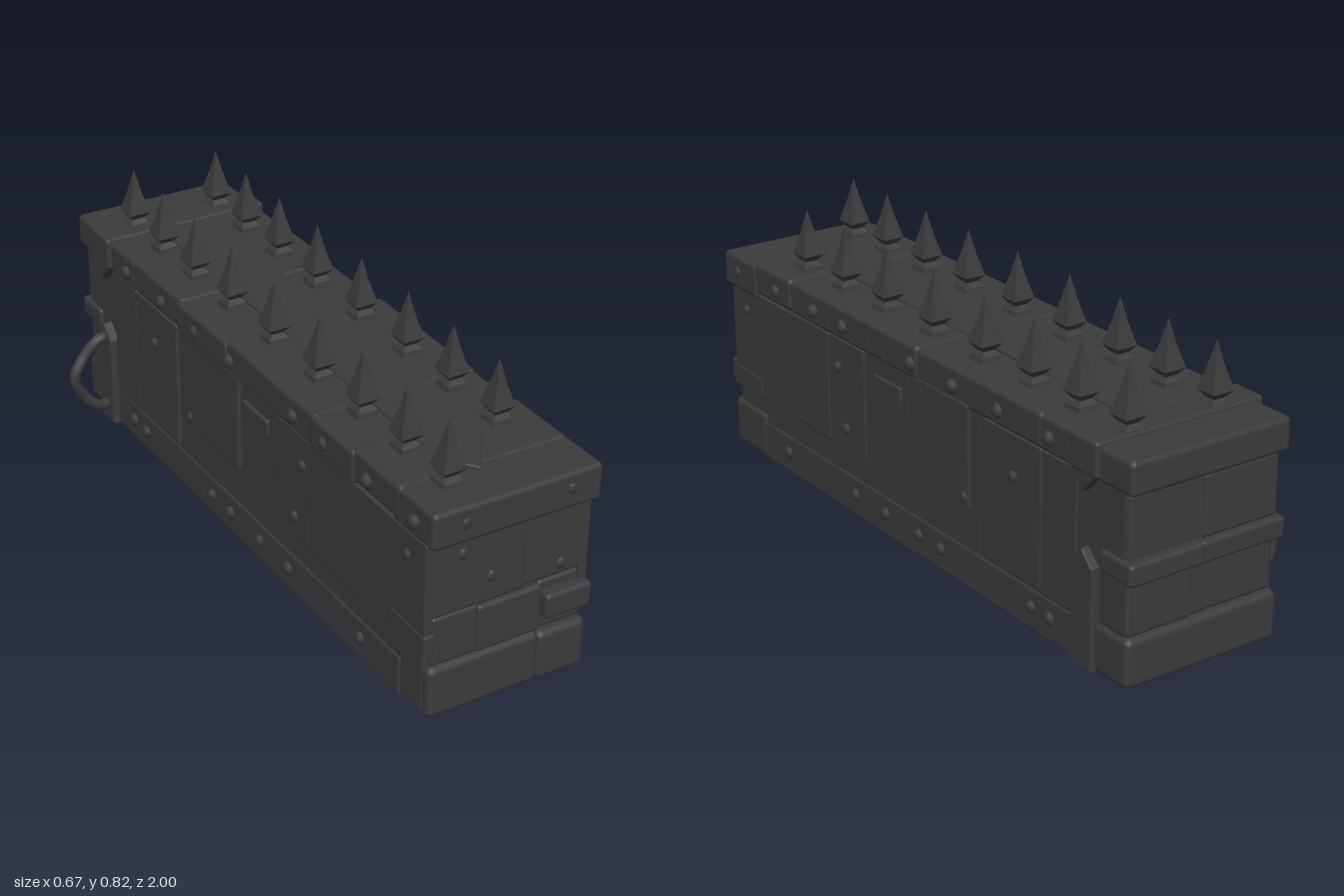
import * as THREE from 'three';
import { RoundedBoxGeometry } from 'three/addons/geometries/RoundedBoxGeometry.js';

const iron = new THREE.MeshStandardMaterial({ color: 0x3b3b3b });
iron.name = 'dark iron';
const CX = 0.053; // middle of the wall in x

export function createModel() {
  const root = new THREE.Group();
  root.name = 'spikedWall';

  const add = (name, geo, parent = root) => {
    const m = new THREE.Mesh(geo, iron);
    m.name = name;
    parent.add(m);
    return m;
  };
  const group = (name) => {
    const g = new THREE.Group();
    g.name = name;
    root.add(g);
    return g;
  };
  // worn block given by its limits on each axis, optionally tilted a little
  const block = (name, x0, x1, y0, y1, z0, z1, parent = root, r = 0.012, tilt = 0) => {
    const w = x1 - x0, h = y1 - y0, d = z1 - z0;
    const m = add(name, new RoundedBoxGeometry(w, h, d, 2, Math.min(r, Math.min(w, h, d) * 0.45)), parent);
    m.position.set((x0 + x1) / 2, (y0 + y1) / 2, (z0 + z1) / 2);
    m.rotation.z = tilt;
    return m;
  };

  // main body and base course
  block('core', -0.188, 0.298, 0.01, 0.6, -0.965, 0.95);
  const base = group('baseCourse');
  block('baseFront', -0.185, 0.16, 0.005, 0.162, 0.7, 0.975, base, 0.02, 0.005);
  block('baseFrontCorner', 0.15, 0.306, 0.008, 0.158, 0.79, 0.98, base, 0.02);
  block('baseBack', -0.19, 0.308, 0.008, 0.15, -0.99, -0.84, base, 0.02);
  block('baseSides', -0.193, 0.302, 0.006, 0.13, -0.9, 0.85, base, 0.01);

  // masonry on the two ends: [x0, x1, y0, y1, depth]
  const ends = group('endStones');
  [
    [-0.183, 0.105, 0.312, 0.535, 0.968], [0.095, 0.292, 0.317, 0.53, 0.963],
    [-0.172, -0.028, 0.16, 0.31, 0.962], [-0.035, 0.165, 0.16, 0.302, 0.966],
    [0.155, 0.296, 0.16, 0.31, 0.958], [0.16, 0.304, 0.208, 0.283, 0.995],
  ].forEach(([x0, x1, y0, y1, d]) => block('frontStone', x0, x1, y0, y1, 0.8, d, ends));
  [
    [-0.185, 0.06, 0.36, 0.54, 0.978], [0.05, 0.295, 0.35, 0.54, 0.972],
    [-0.18, 0.1, 0.15, 0.31, 0.97], [0.09, 0.3, 0.15, 0.31, 0.977],
    [-0.2, 0.08, 0.298, 0.36, 0.995], [0.07, 0.31, 0.3, 0.362, 1.0],
  ].forEach(([x0, x1, y0, y1, d]) => block('backStone', x0, x1, y0, y1, -d, -0.87, ends));

  // overlapping plates on both long sides: [z0, z1, y0, y1, thickness]
  const plates = group('sidePlates');
  const plateList = [
    [0.41, 0.965, 0.205, 0.54, 0.006], [0.22, 0.63, 0.2, 0.54, 0.003],
    [-0.3, 0.01, 0.25, 0.55, 0.007], [-0.62, -0.36, 0.135, 0.54, 0.004],
    [0.8, 0.972, 0.205, 0.27, 0.009], [0.03, 0.17, 0.44, 0.49, 0.005],
    [-0.77, -0.62, 0.13, 0.54, 0.003],
  ];
  for (const s of [-1, 1]) for (const [z0, z1, y0, y1, t] of plateList) {
    const x = CX + s * 0.238;
    block('sidePlate', x - 0.008 - t, x + 0.008 + t, y0, y1, z0, z1, plates, 0.006);
  }

  // overhanging cap: thicker end slabs with slightly uneven side segments
  const cap = group('cap');
  block('capFront', -0.197, 0.316, 0.53, 0.638, 0.8, 0.99, cap, 0.015, -0.006);
  block('capBack', -0.2, 0.312, 0.542, 0.638, -1.0, -0.82, cap, 0.015);
  const cuts = [-0.84, -0.62, -0.33, -0.05, 0.2, 0.42, 0.62, 0.83];
  for (let i = 0; i < cuts.length - 1; i++) {
    const w = 0.004 * Math.sin(i * 2.3);
    block('capSegment', -0.203 + w, 0.307 + w, 0.54 + w, 0.639 + w * 0.7,
      cuts[i] - 0.01, cuts[i + 1] + 0.01, cap, 0.014);
  }

  // pointed strap lying on top
  const outline = new THREE.Shape([
    [-0.035, 0.78], [-0.035, -0.76], [0.135, -0.76], [0.135, 0.7], [0.025, 0.86],
  ].map(([x, z]) => new THREE.Vector2(x, -z)));
  const strap = add('topStrap', new THREE.ExtrudeGeometry(outline, {
    depth: 0.012, bevelEnabled: true, bevelSize: 0.004, bevelThickness: 0.004, bevelSegments: 1,
  }));
  strap.rotation.x = -Math.PI / 2;
  strap.position.y = 0.631;

  // metal band around the rear: over the cap, with pointed tongues on the sides
  const band = group('rearBand');
  block('bandOverCap', -0.216, 0.325, 0.55, 0.649, -0.875, -0.765, band, 0.01);
  const tongue = (pts) => new THREE.ExtrudeGeometry(
    new THREE.Shape(pts.map(([z, y]) => new THREE.Vector2(z, y))),
    { depth: 0.025, bevelEnabled: true, bevelSize: 0.004, bevelThickness: 0.004, bevelSegments: 1 });
  const upper = tongue([[-0.05, 0.56], [0, 0.505], [0.05, 0.56], [0.05, 0.635], [-0.05, 0.635]]);
  const lower = tongue([[-0.042, 0.015], [0.042, 0.015], [0.042, 0.3], [0, 0.34], [-0.042, 0.3]]);
  for (const s of [-1, 1]) for (const [name, geo] of [['upperTongue', upper], ['lowerTongue', lower]]) {
    const m = add(name, geo, band);
    m.rotation.y = s * Math.PI / 2;
    m.position.set(CX + s * 0.24, 0, -0.815);
  }

  // rough ring handle on one side
  const path = new THREE.CatmullRomCurve3([
    [-0.195, 0.3], [-0.235, 0.302], [-0.285, 0.252], [-0.324, 0.185],
    [-0.295, 0.115], [-0.245, 0.068], [-0.195, 0.066],
  ].map(([x, y], i) => new THREE.Vector3(x, y, -0.815 + 0.006 * (i % 2))));
  add('handle', new THREE.TubeGeometry(path, 28, 0.018, 7));

  // two rows of four-sided spikes
  const spikes = group('spikes');
  const profile = [[0.034, 0.63], [0.029, 0.652], [0.018, 0.666], [0.034, 0.686], [0.016, 0.75], [0.0005, 0.82]];
  const spikeGeo = new THREE.LatheGeometry(
    profile.map(([r, y]) => new THREE.Vector2(r * Math.SQRT2, y)), 4, Math.PI / 4).toNonIndexed();
  spikeGeo.computeVertexNormals();
  const rows = [-0.84, -0.65, -0.45, -0.23, 0.01, 0.25, 0.47, 0.68, 0.87];
  rows.forEach((z, i) => {
    add('spike', spikeGeo, spikes).position.set(-0.08, 0, z);
    if (i < 8) add('spike', spikeGeo, spikes).position.set(0.2, 0, z);
  });

  // blunt rivets along the cap, the sides and the front
  const rivets = group('rivets');
  const rivetGeo = new THREE.SphereGeometry(0.02, 8, 6);
  const rivet = (x, y, z, sx, sy, sz) => {
    const m = add('rivet', rivetGeo, rivets);
    m.position.set(x, y, z);
    m.scale.set(sx, sy, sz);
  };
  for (const s of [-1, 1]) {
    for (const z of [-0.82, -0.66, -0.44, -0.23, -0.03, 0.32, 0.48, 0.69, 0.91])
      rivet(CX + s * 0.256, 0.585, z, 0.8, 1.1, 1.1);
    for (const z of [-0.66, -0.58, -0.16, -0.05, 0.12, 0.28, 0.66])
      rivet(CX + s * 0.248, 0.075, z, 0.7, 1, 1);
    for (const [z, y] of [[0.32, 0.27], [0.36, 0.45], [-0.28, 0.28], [0.88, 0.47], [-0.5, 0.42]])
      rivet(CX + s * 0.25, y, z, 0.6, 0.9, 0.9);
  }
  for (const [x, y, z] of [[-0.1, 0.59, 0.987], [0.22, 0.59, 0.987], [-0.09, 0.485, 0.966],
    [0, 0.39, 0.966], [0.22, 0.35, 0.961]]) rivet(x, y, z, 0.9, 0.9, 0.4);

  return root;
}
